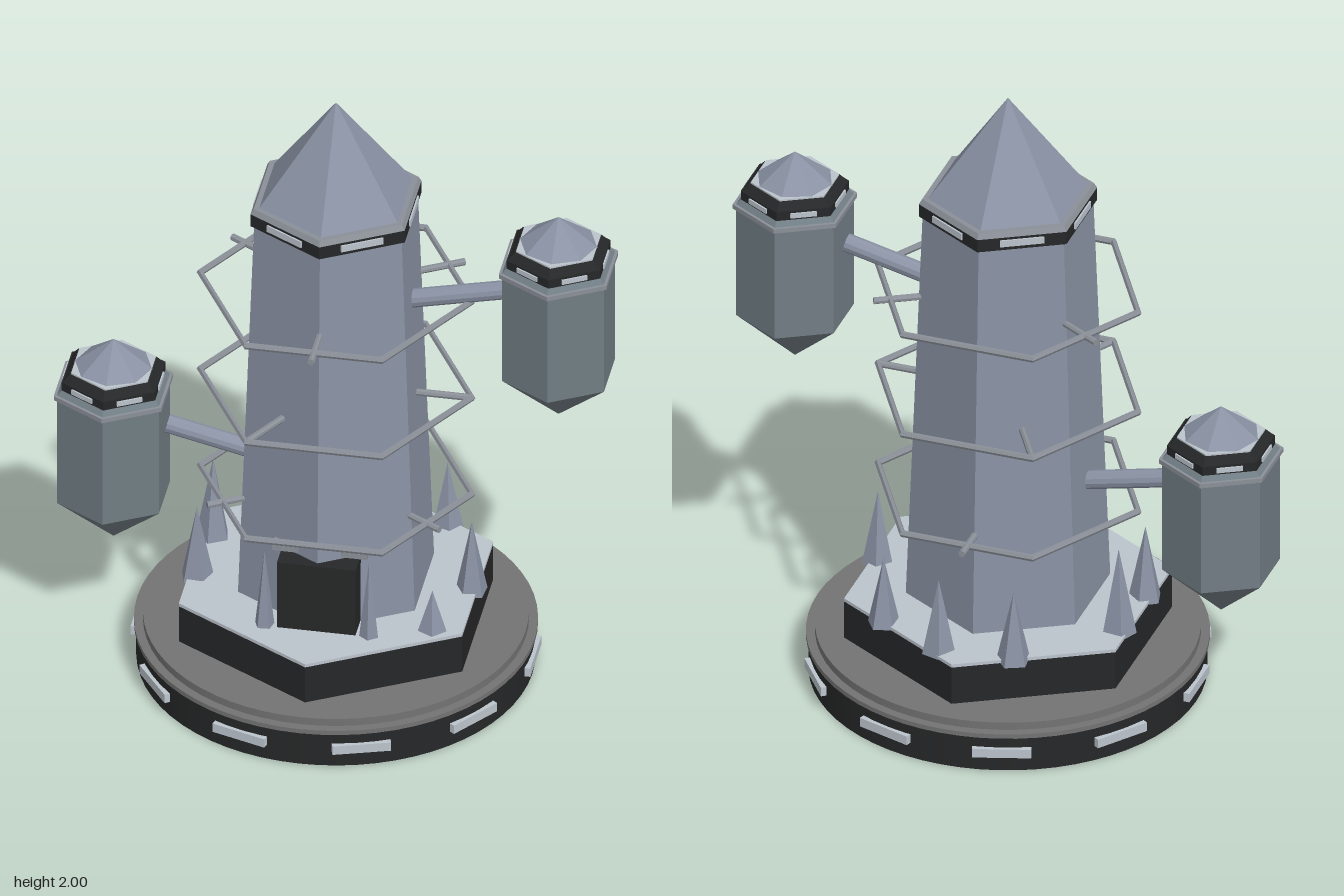
import * as THREE from 'three';

const mat = (color, flat = true) => new THREE.MeshStandardMaterial({ color, flatShading: flat });
const WALL = mat(0x8a92a4), POD = mat(0x717d84), DARK = mat(0x262728), PALE = mat(0xbcc4cc);
const DECK = mat(0x737373, false), BASE = mat(0x262728, false), METAL = mat(0x8b9098);

function add(parent, name, geometry, material, x = 0, y = 0, z = 0) {
  const mesh = new THREE.Mesh(geometry, material);
  mesh.name = name;
  mesh.position.set(x, y, z);
  parent.add(mesh);
  return mesh;
}

// Prism or cone frustum standing between two heights
function prism(parent, name, material, rTop, rBottom, y0, y1, sides = 6) {
  return add(parent, name, new THREE.CylinderGeometry(rTop, rBottom, y1 - y0, sides), material, 0, (y0 + y1) / 2, 0);
}

// Round bar between two points
function bar(parent, name, material, a, b, radius, sides = 8) {
  const dir = b.clone().sub(a);
  const mesh = add(parent, name, new THREE.CylinderGeometry(radius, radius, dir.length(), sides), material);
  mesh.position.copy(a).add(b).multiplyScalar(0.5);
  mesh.quaternion.setFromUnitVectors(new THREE.Vector3(0, 1, 0), dir.normalize());
  return mesh;
}

const polar = (r, angle, y) => new THREE.Vector3(r * Math.sin(angle), y, r * Math.cos(angle));

// Lit windows around a wall, facing outwards
function windows(parent, count, start, r, y, w, h, depth) {
  for (let i = 0; i < count; i++) {
    const angle = start + (i * 2 * Math.PI) / count;
    const p = polar(r, angle, y);
    add(parent, 'window', new THREE.BoxGeometry(w, h, depth), PALE, p.x, p.y, p.z).rotation.y = angle;
  }
}

function createPod(side, y) {
  const pod = new THREE.Group();
  pod.name = side > 0 ? 'leftPod' : 'rightPod';
  pod.position.set(side * 0.68, y, 0);
  prism(pod, 'podPoint', POD, 0.18, 0, 0, 0.16);
  prism(pod, 'podBody', POD, 0.18, 0.18, 0.16, 0.54);
  prism(pod, 'podLip', METAL, 0.19, 0.19, 0.535, 0.55);
  prism(pod, 'podShoulder', POD, 0.165, 0.18, 0.55, 0.565);
  prism(pod, 'podBand', DARK, 0.165, 0.165, 0.565, 0.595);
  prism(pod, 'podUpperBand', DARK, 0.14, 0.16, 0.595, 0.617);
  prism(pod, 'podCapPlate', PALE, 0.135, 0.135, 0.61, 0.622);
  prism(pod, 'podCap', WALL, 0, 0.12, 0.62, 0.715, 8);
  windows(pod, 6, Math.PI / 6, 0.142, 0.58, 0.08, 0.016, 0.012);
  return pod;
}

export function createModel() {
  const model = new THREE.Group();
  model.name = 'tower';

  // Round base with windows
  prism(model, 'base', BASE, 0.6, 0.6, 0, 0.115, 64);
  prism(model, 'baseLip', DECK, 0.607, 0.607, 0.115, 0.13, 64);
  prism(model, 'baseDeck', DECK, 0.58, 0.58, 0.13, 0.155, 64);
  windows(model, 10, Math.PI / 10, 0.597, 0.065, 0.178, 0.03, 0.028);

  // Hexagonal platform
  prism(model, 'platform', DARK, 0.5, 0.5, 0.15, 0.282);
  prism(model, 'platformTop', PALE, 0.5, 0.5, 0.282, 0.293);

  // Tower, collar and roof
  prism(model, 'towerWall', WALL, 0.26, 0.312, 0.29, 1.63);
  prism(model, 'collar', DARK, 0.272, 0.272, 1.612, 1.655);
  prism(model, 'collarLip', METAL, 0.262, 0.272, 1.655, 1.672);
  prism(model, 'roof', WALL, 0, 0.245, 1.67, 2);
  windows(model, 6, Math.PI / 6, 0.235, 1.636, 0.135, 0.022, 0.012);

  // Doorway
  add(model, 'door', new THREE.BoxGeometry(0.24, 0.24, 0.14), DARK, 0, 0.408, 0.25);
  add(model, 'doorLintel', new THREE.BoxGeometry(0.29, 0.018, 0.1), METAL, 0, 0.542, 0.215);

  // Hexagonal rings, each held by three spokes
  [0.63, 0.98, 1.33].forEach((y, i) => {
    const ring = add(model, 'ring', new THREE.TorusGeometry(0.415, 0.011, 6, 6), METAL, 0, y, 0);
    ring.rotation.x = Math.PI / 2;
    for (let k = 0; k < 3; k++) {
      const angle = ((60 + 30 * i + 120 * k) * Math.PI) / 180;
      bar(model, 'ringSpoke', METAL, polar(0.22, angle, y), polar(0.41, angle, y), 0.011);
    }
  });

  // Hanging pods on slanted arms
  [[1, 0.955], [-1, 0.34]].forEach(([side, y]) => {
    model.add(createPod(side, y));
    bar(model, 'podArm', WALL, new THREE.Vector3(side * 0.18, y + 0.352, 0),
      new THREE.Vector3(side * 0.515, y + 0.43, 0), 0.029, 12);
  });

  // Spikes: x, z, tip height, radius
  [
    [0.16, 0.31, 0.56, 0.032], [-0.16, 0.31, 0.56, 0.032], [0.34, 0.24, 0.43, 0.05],
    [0.415, 0, 0.53, 0.05], [0.28, -0.325, 0.51, 0.05], [0.07, -0.42, 0.53, 0.053],
    [-0.16, -0.395, 0.52, 0.053], [-0.4, -0.13, 0.57, 0.055], [-0.41, 0.08, 0.53, 0.052],
  ].forEach(([x, z, tip, r], i) => {
    const h = tip - 0.28;
    add(model, 'spike', new THREE.ConeGeometry(r, h, 5), WALL, x, 0.28 + h / 2, z).rotation.y = i * 0.7;
  });

  return model;
}
